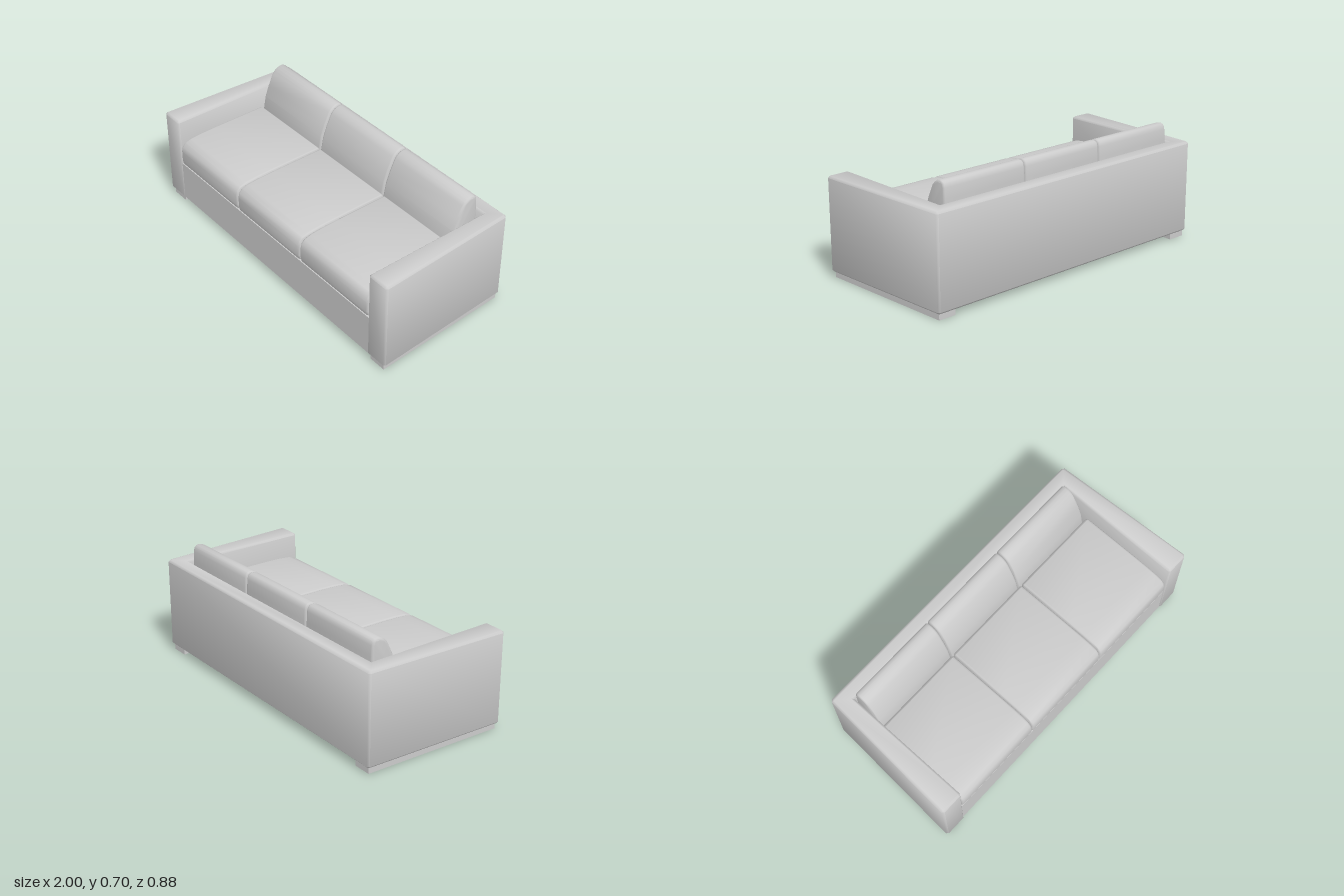
import * as THREE from 'three';
import { toCreasedNormals } from 'three/addons/utils/BufferGeometryUtils.js';

const material = new THREE.MeshStandardMaterial({ color: 0xcccccc });

// Extrudes an outline with its edges rounded inwards; depth runs 0..depth
function extrude(points, depth, bevel, segments) {
  const shape = new THREE.Shape(points.map(([a, b]) => new THREE.Vector2(a, b)));
  const geometry = new THREE.ExtrudeGeometry(shape, {
    depth: depth - 2 * bevel,
    bevelEnabled: bevel > 0,
    bevelThickness: bevel,
    bevelSize: bevel,
    bevelOffset: -bevel,
    bevelSegments: segments,
  });
  return geometry.translate(0, 0, bevel);
}

// Plan outline given as [x, z], raised from y0 to y1
function raisePlan(plan, y0, y1, bevel) {
  const geometry = extrude(plan.map(([x, z]) => [x, -z]), y1 - y0, bevel, 1);
  geometry.rotateX(-Math.PI / 2).translate(0, y0, 0);
  return toCreasedNormals(geometry, 0.9);
}

// Side profile given as [z, y], spanning x0 to x1
function spanProfile(profile, x0, x1) {
  const width = x1 - x0;
  const geometry = extrude(profile, width, 0.014, 3);
  geometry.translate(0, 0, -width / 2).rotateY(-Math.PI / 2).translate((x0 + x1) / 2, 0, 0);
  return toCreasedNormals(geometry, 0.8);
}

export function createModel() {
  const sofa = new THREE.Group();
  sofa.name = 'sofa';
  const add = (name, geometry) => {
    const mesh = new THREE.Mesh(geometry, material);
    mesh.name = name;
    sofa.add(mesh);
  };

  // Arms and back in one U, splayed towards the front, corners chamfered
  const half = [
    [0.86, -0.35], [0.86, 0.43], [0.87, 0.44],
    [0.988, 0.44], [1.0, 0.428], [0.956, -0.428], [0.944, -0.44],
  ];
  const mirrored = half.map(([x, z]) => [-x, z]).reverse();
  add('armsAndBack', raisePlan([...half, ...mirrored], 0.035, 0.587, 0.012));

  // Seat base with its front rail
  const base = new THREE.BoxGeometry(1.75, 0.25, 0.8);
  base.translate(0, 0.161, 0.033);
  add('seatBase', base);

  // Runners under the arms follow the splay
  for (const side of [1, -1]) {
    const plan = [[0.872, 0.425], [0.98, 0.425], [0.942, -0.425], [0.834, -0.425]];
    add(side > 0 ? 'leftRunner' : 'rightRunner',
      raisePlan(plan.map(([x, z]) => [x * side, z]), 0, 0.045, 0));
  }

  // Seat cushions with a rolled front edge
  const seat = [
    [-0.165, 0.285], [0.42, 0.285], [0.433, 0.295], [0.438, 0.32], [0.438, 0.385],
    [0.43, 0.415], [0.41, 0.435], [0.37, 0.447], [0.3, 0.453], [0.2, 0.455],
    [-0.15, 0.455], [-0.165, 0.44],
  ];
  // Back cushions with a sloping front and rounded top
  const back = [
    [-0.345, 0.285], [-0.165, 0.285], [-0.165, 0.44], [-0.18, 0.52], [-0.205, 0.587],
    [-0.24, 0.66], [-0.255, 0.676], [-0.27, 0.687], [-0.288, 0.694], [-0.305, 0.696],
    [-0.32, 0.693], [-0.332, 0.684], [-0.339, 0.66], [-0.342, 0.6],
  ];
  for (let i = 0; i < 3; i++) {
    const seatX = -0.857 + i * 0.572;
    add('seatCushion' + (i + 1), spanProfile(seat, seatX, seatX + 0.569));
    const backX = -0.855 + i * 0.561;
    add('backCushion' + (i + 1), spanProfile(back, backX, backX + 0.558));
  }
  return sofa;
}
